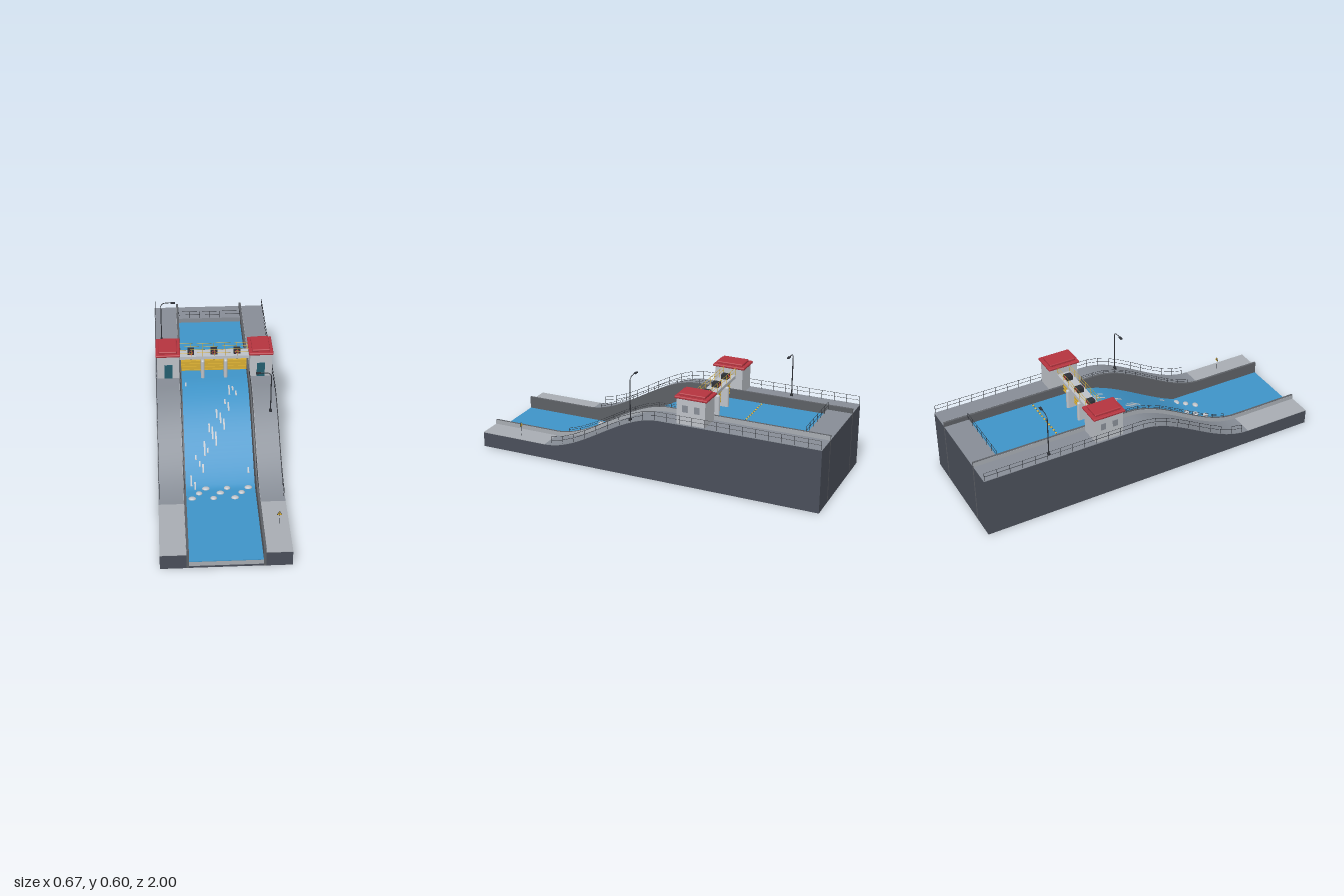
import * as THREE from 'three';
import { toCreasedNormals } from 'three/addons/utils/BufferGeometryUtils.js';
import { RoundedBoxGeometry } from 'three/addons/geometries/RoundedBoxGeometry.js';

const mat = (name, color) => {
  const m = new THREE.MeshStandardMaterial({ color });
  m.name = name;
  return m;
};
const M = {
  body: mat('dark earth', 0x4a4f5a),
  concrete: mat('concrete', 0x878d96),
  pale: mat('pale concrete', 0xa8adb3),
  wall: mat('wall grey', 0x5d6065),
  white: mat('off white', 0xbec2c8),
  red: mat('roof red', 0xb5343f),
  teal: mat('door teal', 0x235f70),
  yellow: mat('gate yellow', 0xd9ae33),
  water: mat('water blue', 0x3f94c8),
  metal: mat('dark metal', 0x2e3137),
};

// Height of the banks and of the water along z
const ease = (z, z0, z1) => THREE.MathUtils.smoothstep(z0 - z, 0, z0 - z1);
const bankY = z => 0.087 + 0.266 * ease(z, 0.6, -0.1);
const waterY = z => Math.max(0.042, 0.004 + 0.321 * ease(z, 0.6, -0.24));
const steps = (a, b, n) => Array.from({ length: n + 1 }, (_, i) => a + (b - a) * i / n);

export function createModel() {
  const root = new THREE.Group();
  root.name = 'spillwayDam';

  const add = (name, geo, material, x = 0, y = 0, z = 0, parent = root) => {
    const mesh = new THREE.Mesh(geo, material);
    mesh.name = name;
    mesh.position.set(x, y, z);
    parent.add(mesh);
    return mesh;
  };
  const box = (name, m, w, h, d, x, y, z, parent) => add(name, new THREE.BoxGeometry(w, h, d), m, x, y, z, parent);
  const group = name => {
    const g = new THREE.Group();
    g.name = name;
    root.add(g);
    return g;
  };
  // Solid running along z between two height rules, from x0 to x1
  const strip = (name, m, x0, x1, za, zb, top, bottom) => {
    const zs = steps(za, zb, Math.max(1, Math.round((za - zb) * 40)));
    const pts = zs.map(z => new THREE.Vector2(-z, bottom(z)));
    pts.push(...zs.reverse().map(z => new THREE.Vector2(-z, top(z))));
    const geo = new THREE.ExtrudeGeometry(new THREE.Shape(pts), { depth: x1 - x0, bevelEnabled: false });
    geo.rotateY(Math.PI / 2);
    return add(name, toCreasedNormals(geo, 0.4), m, x0);
  };
  // Thin round bar between two points
  const bar = (name, m, a, b, r, parent) => {
    const p = new THREE.Vector3(...a), q = new THREE.Vector3(...b);
    const mesh = add(name, new THREE.CylinderGeometry(r, r, p.distanceTo(q), 6), m, 0, 0, 0, parent);
    mesh.position.lerpVectors(p, q, 0.5);
    mesh.quaternion.setFromUnitVectors(new THREE.Vector3(0, 1, 0), q.sub(p).normalize());
  };
  // Railing through base points: posts plus two rails
  const railing = (name, m, base, height, r) => {
    const g = group(name);
    base.forEach(([x, y, z], i) => {
      bar('post', m, [x, y, z], [x, y + height, z], r, g);
      if (!i) return;
      const [px, py, pz] = base[i - 1];
      for (const k of [0.52, 1]) bar('rail', m, [px, py + height * k, pz], [x, y + height * k, z], r * 0.8, g);
    });
  };

  // Banks, channel walls and railings on both sides
  for (const s of [-1, 1]) {
    const side = (name, m, a, b, ...rest) => strip(name, m, s > 0 ? a : -b, s > 0 ? b : -a, ...rest);
    side('bankBody', M.body, 0.199, 0.333, 1, -1, z => bankY(z) - 0.003, () => 0);
    side('lowerBankTop', M.pale, 0.199, 0.333, 1, 0.6, bankY, z => bankY(z) - 0.003);
    side('upperBankTop', M.concrete, 0.199, 0.333, 0.6, -1, bankY, z => bankY(z) - 0.003);
    side('channelWall', M.wall, 0.187, 0.1995, 1, -1, z => bankY(z) + 0.025, () => 0);
    side('wallFacing', M.pale, 0.1995, 0.201, 1, -1, z => bankY(z) + 0.0245, z => bankY(z) - 0.001);
    railing('bankRailing', M.metal, steps(0.56, -0.995, 22).map(z => [s * 0.328, bankY(z), z]), 0.047, 0.0014);
    railing('wallRailing', M.metal, steps(0.52, -0.18, 10).map(z => [s * 0.195, bankY(z) + 0.025, z]), 0.022, 0.0012);
  }

  // Channel bed, water and rear deck
  box('channelFloor', M.body, 0.376, 0.01, 1.998, 0, 0.005, 0);
  strip('channelBed', M.pale, -0.1875, 0.1875, 0.997, -0.86, z => waterY(z) - 0.004, () => 0.009);
  strip('water', M.water, -0.1875, 0.1875, 0.999, -0.86, waterY, z => waterY(z) - 0.004);
  box('rearBody', M.body, 0.376, 0.24, 0.138, 0, 0.12, -0.931);
  box('rearBodyBack', M.body, 0.376, 0.35, 0.01, 0, 0.175, -0.995);
  box('rearDeck', M.concrete, 0.376, 0.113, 0.13, 0, 0.2965, -0.925);
  box('rearDeckEdge', M.concrete, 0.376, 0.003, 0.01, 0, 0.3515, -0.995);
  railing('rearRailing', M.metal, steps(-0.185, 0.185, 6).map(x => [x, 0.353, -0.865]), 0.045, 0.0014);

  // Float line across the reservoir
  const floats = group('floatLine');
  bar('rope', M.metal, [-0.187, 0.327, -0.49], [0.187, 0.327, -0.49], 0.001, floats);
  for (const x of steps(-0.168, 0.168, 12)) {
    add('float', new THREE.SphereGeometry(0.006, 10, 8), M.yellow, x, 0.326, -0.49, floats).scale.set(1.2, 0.7, 1);
  }

  // Pale streaks on the chute: x, z, length
  const streaks = [[-0.155, 0.375, 0.06], [-0.135, 0.405, 0.045], [-0.125, 0.25, 0.025], [-0.105, 0.285, 0.03],
    [-0.088, 0.31, 0.045], [-0.075, 0.205, 0.075], [-0.058, 0.215, 0.025], [-0.045, 0.098, 0.045],
    [-0.028, 0.125, 0.065], [-0.01, 0.155, 0.075], [0, 0.02, 0.05], [0.02, 0.045, 0.06], [0.038, 0.08, 0.06],
    [0.05, -0.05, 0.03], [0.068, -0.02, 0.05], [0.078, -0.13, 0.07], [0.098, -0.14, 0.03], [0.115, -0.105, 0.03],
    [0.157, 0.325, 0.03], [-0.165, -0.18, 0.03]];
  for (const [x, z, len] of streaks) {
    strip('waterStreak', M.white, x - 0.0045, x + 0.0045, z + len / 2, z - len / 2,
      q => waterY(q) + 0.0025, q => waterY(q) - 0.001);
  }

  // Foam mounds at the foot of the chute
  for (let i = 0; i < 9; i++) {
    const foam = add('foam', new THREE.SphereGeometry(1, 16, 10), M.white, -0.154 + i * 0.038, 0.042, [0.503, 0.46, 0.42][i % 3]);
    foam.scale.set(i % 2 ? 0.018 : 0.021, 0.0095, 0.016);
  }

  // Gate piers, bridge and bridge railings
  for (const x of [-0.065, 0.065]) add('pier', new RoundedBoxGeometry(0.021, 0.13, 0.105, 4, 0.01), M.white, x, 0.376, -0.285);
  box('bridgeDeck', M.white, 0.392, 0.018, 0.075, 0, 0.451, -0.287);
  for (const z of [-0.321, -0.253]) {
    railing('bridgeRailing', M.yellow, steps(-0.194, 0.194, 6).map(x => [x, 0.46, z]), 0.044, 0.0014);
  }

  // Three raised gates, each with ribs, a stem and a hoist
  for (const x of [-0.131, 0, 0.131]) {
    const w = 0.111;
    box('gate', M.yellow, w, 0.068, 0.012, x, 0.382, -0.287);
    for (const y of [0.354, 0.373, 0.392, 0.411]) box('gateRib', M.yellow, w, 0.005, 0.02, x, y, -0.287);
    bar('gateStem', M.metal, [x, 0.41, -0.287], [x, 0.47, -0.287], 0.0025);
    box('hoist', M.metal, 0.038, 0.025, 0.038, x, 0.4725, -0.289);
    for (const z of [-0.309, -0.269]) {
      add('handWheel', new THREE.TorusGeometry(0.01, 0.0022, 8, 20), M.red, x, 0.473, z);
    }
  }

  // Gatehouses
  for (const s of [-1, 1]) {
    const g = group(s > 0 ? 'leftGatehouse' : 'rightGatehouse');
    g.position.set(s * 0.2615, 0, -0.281);
    box('houseWalls', M.white, 0.123, 0.145, 0.162, 0, 0.4245, 0, g);
    add('roofSlab', new RoundedBoxGeometry(0.137, 0.014, 0.186, 3, 0.005), M.red, 0, 0.502, 0, g);
    add('roofCap', new RoundedBoxGeometry(0.101, 0.016, 0.15, 3, 0.005), M.red, 0, 0.514, 0, g);
    box('door', M.teal, 0.045, 0.087, 0.004, -s * 0.001, 0.3965, 0.082, g);
    for (const z of [-0.035, 0.035]) {
      box('window', M.concrete, 0.006, 0.038, 0.03, s * 0.061, 0.442, z, g);
    }
  }

  // Street lamps with an arm bent inward; dir is the arm direction along x
  for (const [x, z, dir] of [[-0.294, -0.62, 1], [0.293, 0.085, -1]]) {
    const g = group('streetLamp');
    g.position.set(x, bankY(z), z);
    box('lampBase', M.metal, 0.014, 0.014, 0.014, 0, 0.004, 0, g);
    bar('lampPost', M.metal, [0, 0, 0], [0, 0.225, 0], 0.0032, g);
    const arm = new THREE.CatmullRomCurve3([[0, 0.22], [0.002, 0.233], [0.016, 0.246], [0.035, 0.249], [0.065, 0.249]]
      .map(([u, v]) => new THREE.Vector3(dir * u, v, 0)));
    add('lampArm', new THREE.TubeGeometry(arm, 20, 0.0022, 6), M.metal, 0, 0, 0, g);
    box('lampHead', M.metal, 0.026, 0.006, 0.012, dir * 0.071, 0.248, 0, g);
  }

  // Warning sign on the lower bank
  const sign = group('warningSign');
  sign.position.set(0.283, 0.087, 0.78);
  bar('signPost', M.metal, [0, 0, 0], [0, 0.062, 0], 0.0012, sign);
  const triangle = (r, depth) => new THREE.CylinderGeometry(r, r, depth, 3).rotateX(Math.PI / 2).rotateZ(Math.PI);
  const placeTri = (name, r, depth, m) => {
    const t = add(name, triangle(r, depth), m, 0, 0.064, 0, sign);
    t.geometry.computeBoundingBox();
    if (t.geometry.boundingBox.max.y < r * 0.9) t.rotation.z = Math.PI;
  };
  placeTri('signBorder', 0.0155, 0.003, M.metal);
  placeTri('signFace', 0.013, 0.005, M.yellow);
  box('signMark', M.metal, 0.0015, 0.008, 0.0065, 0, 0.065, 0, sign);

  return root;
}
